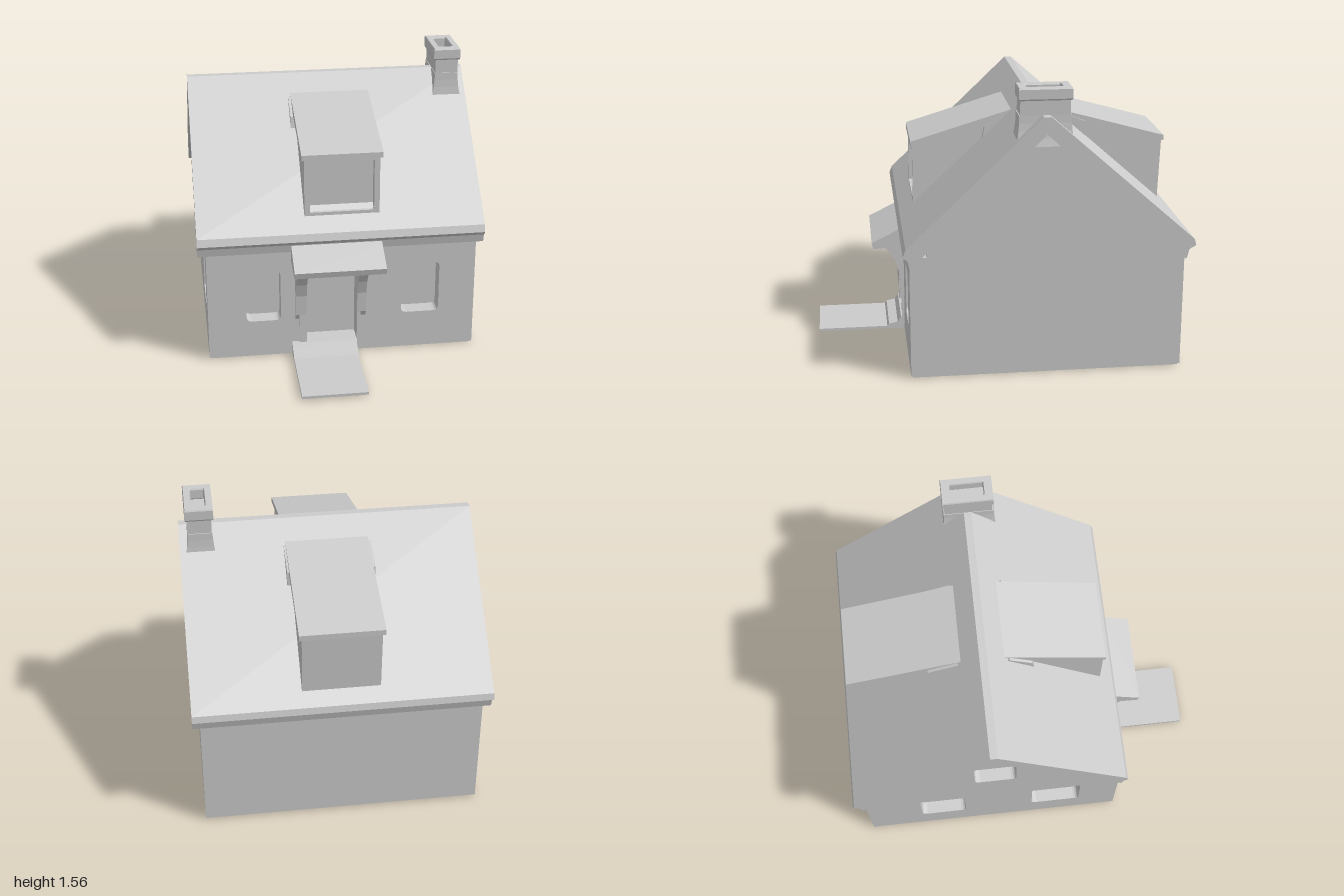
import * as THREE from 'three';

const material = new THREE.MeshStandardMaterial({ color: 0xcccccc, flatShading: true });

// Rounded rectangle outline, used for openings
function roundedRect(x0, x1, y0, y1, r = 0.03) {
  const p = new THREE.Path();
  p.moveTo(x0 + r, y0);
  p.lineTo(x1 - r, y0).quadraticCurveTo(x1, y0, x1, y0 + r);
  p.lineTo(x1, y1 - r).quadraticCurveTo(x1, y1, x1 - r, y1);
  p.lineTo(x0 + r, y1).quadraticCurveTo(x0, y1, x0, y1 - r);
  p.lineTo(x0, y0 + r).quadraticCurveTo(x0, y0, x0 + r, y0);
  return p;
}

const outline = (points) => new THREE.Shape(points.map(([a, b]) => new THREE.Vector2(a, b)));

export function createModel() {
  const house = new THREE.Group();
  house.name = 'house';

  const add = (name, geometry) => {
    const mesh = new THREE.Mesh(geometry, material);
    mesh.name = name;
    house.add(mesh);
    return mesh;
  };

  const box = (name, x0, x1, y0, y1, z0, z1) =>
    add(name, new THREE.BoxGeometry(x1 - x0, y1 - y0, z1 - z0)
      .translate((x0 + x1) / 2, (y0 + y1) / 2, (z0 + z1) / 2));

  // Extrude a (z, y) side profile across the width from x0 to x1
  const sideExtrude = (name, points, x0, x1, holes = []) => {
    const shape = outline(points);
    shape.holes.push(...holes);
    const g = new THREE.ExtrudeGeometry(shape, { depth: x1 - x0, bevelEnabled: false, curveSegments: 4 });
    return add(name, g.rotateY(-Math.PI / 2).translate(x1, 0, 0));
  };

  // Extrude an (x, y) front outline from z0 to z1
  const frontExtrude = (name, points, z0, z1, holes = []) => {
    const shape = outline(points);
    shape.holes.push(...holes);
    const g = new THREE.ExtrudeGeometry(shape, { depth: z1 - z0, bevelEnabled: false, curveSegments: 4 });
    return add(name, g.translate(0, 0, z0));
  };

  // Solid core whose faces close the backs of the recessed openings
  const gable = [[-0.95, 0.01], [0.42, 0.01], [0.42, 0.74], [-0.2, 1.35], [-0.95, 0.68]];
  sideExtrude('houseBody', gable, -0.67, 0.74);

  // Gable wall with three windows
  sideExtrude('windowGableWall', gable, -0.74, -0.67, [
    roundedRect(-0.64, -0.38, 0.2, 0.5),
    roundedRect(0.01, 0.29, 0.2, 0.5),
    roundedRect(-0.31, -0.08, 0.81, 1.09),
  ]);

  // Front wall with two windows and the doorway
  frontExtrude('frontWall', [
    [-0.74, 0.01], [-0.2, 0.01], [-0.2, 0.58], [0.08, 0.58], [0.08, 0.01],
    [0.74, 0.01], [0.74, 0.68], [-0.74, 0.68],
  ], 0.42, 0.51, [
    roundedRect(-0.53, -0.34, 0.22, 0.52),
    roundedRect(0.33, 0.54, 0.22, 0.52),
  ]);

  // Roof with coved eaves
  sideExtrude('roof', [
    [0.53, 0.74], [-0.18, 1.42], [-0.22, 1.42], [-0.99, 0.74], [-1.0, 0.705],
    [-0.965, 0.685], [-0.95, 0.63], [-0.2, 1.33], [0.51, 0.63], [0.52, 0.675], [0.545, 0.7],
  ], -0.785, 0.78);

  // Dormers: cheeks and sloped roof, front one with a recessed window
  sideExtrude('frontDormer', [[0.41, 0.76], [0.41, 1.15], [-0.12, 1.32], [-0.12, 1.2]], -0.2, 0.21);
  frontExtrude('frontDormerFrame', [[-0.2, 0.76], [0.21, 0.76], [0.21, 1.15], [-0.2, 1.15]],
    0.41, 0.455, [roundedRect(-0.17, 0.18, 0.83, 1.12, 0.01)]);
  sideExtrude('frontDormerRoof', [
    [0.465, 1.165], [-0.1, 1.335], [-0.12, 1.29], [0.465, 1.135],
  ], -0.215, 0.225);
  sideExtrude('backDormer', [[-0.3, 1.2], [-0.3, 1.32], [-0.935, 1.14], [-0.92, 0.72]], -0.2, 0.21);
  sideExtrude('backDormerRoof', [
    [-0.3, 1.29], [-0.31, 1.335], [-0.945, 1.16], [-0.945, 1.13],
  ], -0.215, 0.225);

  // Small flared flashing where each dormer cheek meets the roof
  for (const x of [-0.215, 0.21]) {
    sideExtrude('frontDormerFlashing', [[0.08, 1.14], [0.06, 1.24], [-0.06, 1.32], [-0.08, 1.29]], x - 0.015, x + 0.025);
    sideExtrude('backDormerFlashing', [[-0.32, 1.29], [-0.34, 1.32], [-0.5, 1.255], [-0.5, 1.15]], x - 0.015, x + 0.025);
  }

  // Chimney: flared base, shaft, and a hollow cap
  const base = new THREE.BoxGeometry(0.13, 0.16, 0.27, 1, 4, 1);
  const pos = base.attributes.position;
  for (let i = 0; i < pos.count; i++) {
    const t = Math.pow(0.5 - pos.getY(i) / 0.16, 2);
    pos.setX(i, pos.getX(i) * (1 + 0.35 * t));
    pos.setZ(i, pos.getZ(i) * (1 + 0.12 * t));
  }
  base.computeVertexNormals();
  add('chimneyBase', base.translate(0.67, 1.34, -0.195));
  box('chimneyShaft', 0.608, 0.735, 1.4, 1.5, -0.325, -0.065);
  const cap = outline([[0.6, 0.06], [0.742, 0.06], [0.742, 0.33], [0.6, 0.33]]);
  cap.holes.push(roundedRect(0.63, 0.712, 0.1, 0.29, 0.01));
  add('chimneyCap', new THREE.ExtrudeGeometry(cap, {
    depth: 0.05, bevelEnabled: true, bevelSize: 0.004, bevelThickness: 0.008, bevelSegments: 1,
  }).rotateX(-Math.PI / 2).translate(0, 1.505, 0));

  // Door canopy with curved brackets and slim door posts
  sideExtrude('doorCanopy', [
    [0.5, 0.68], [0.55, 0.655], [0.69, 0.585], [0.68, 0.55], [0.6, 0.555], [0.5, 0.575],
  ], -0.28, 0.215);
  for (const [x0, x1] of [[-0.26, -0.2], [0.08, 0.13]]) {
    sideExtrude('canopyBracket', [
      [0.5, 0.58], [0.65, 0.555], [0.6, 0.51], [0.56, 0.45], [0.535, 0.37], [0.525, 0.25], [0.5, 0.2],
    ], x0, x1);
  }
  box('leftDoorPost', 0.08, 0.1, 0.05, 0.5, 0.48, 0.525);
  box('rightDoorPost', -0.24, -0.2, 0.05, 0.5, 0.48, 0.525);

  // Doorstep and front path
  sideExtrude('doorstep', [
    [0.42, 0.01], [0.62, 0.01], [0.6, 0.04], [0.55, 0.05], [0.53, 0.08], [0.42, 0.08],
  ], -0.28, 0.08);
  box('frontPath', -0.28, 0.075, 0.01, 0.025, 0.5, 1.0);

  // Thin ground slab under the walls
  box('foundation', -0.73, 0.73, 0, 0.012, -0.94, 0.5);

  return house;
}
